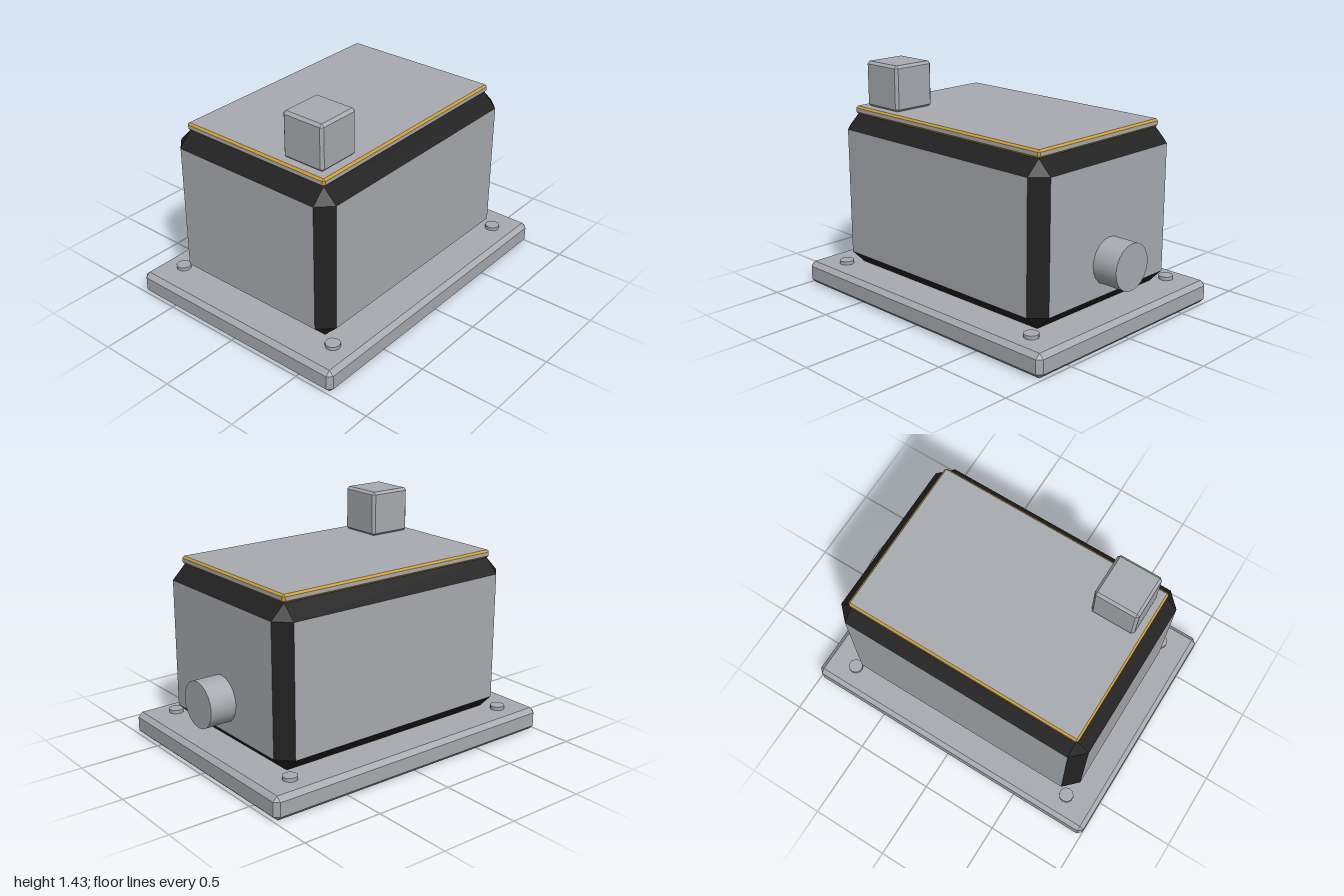
import * as THREE from 'three';

// Box with chamfered edges: group 0 = flat faces, group 1 = chamfers and corners
function chamferBox(w, h, d, c) {
  const half = [w / 2, h / 2, d / 2];
  const pos = [];
  // corner point lying on the face of the given axis
  const point = (signs, axis) =>
    new THREE.Vector3(...signs.map((s, i) => s * (half[i] - (i === axis ? 0 : c))));
  const tri = (a, b, e) => {
    const n = b.clone().sub(a).cross(e.clone().sub(a));
    const mid = a.clone().add(b).add(e);
    const order = n.dot(mid) > 0 ? [a, b, e] : [a, e, b];
    order.forEach((p) => pos.push(p.x, p.y, p.z));
  };
  const quad = (a, b, e, f) => { tri(a, b, e); tri(a, e, f); };
  const signed = (axis, s, u, su, v, sv) => {
    const r = [0, 0, 0];
    r[axis] = s; r[u] = su; r[v] = sv;
    return r;
  };
  // flat faces
  for (let a = 0; a < 3; a++) for (const s of [-1, 1]) {
    const u = (a + 1) % 3, v = (a + 2) % 3;
    const p = (su, sv) => point(signed(a, s, u, su, v, sv), a);
    quad(p(-1, -1), p(1, -1), p(1, 1), p(-1, 1));
  }
  const faceCount = pos.length / 3;
  // edge chamfers running along each axis
  for (let a = 0; a < 3; a++) for (const su of [-1, 1]) for (const sv of [-1, 1]) {
    const u = (a + 1) % 3, v = (a + 2) % 3;
    const p = (s, axis) => point(signed(a, s, u, su, v, sv), axis);
    quad(p(-1, u), p(1, u), p(1, v), p(-1, v));
  }
  // corner triangles
  for (const x of [-1, 1]) for (const y of [-1, 1]) for (const z of [-1, 1]) {
    tri(...[0, 1, 2].map((axis) => point([x, y, z], axis)));
  }
  const g = new THREE.BufferGeometry();
  g.setAttribute('position', new THREE.Float32BufferAttribute(pos, 3));
  g.computeVertexNormals();
  g.addGroup(0, faceCount, 0);
  g.addGroup(faceCount, pos.length / 3 - faceCount, 1);
  return g;
}

export function createModel() {
  const model = new THREE.Group();
  model.name = 'machineBox';
  const metal = new THREE.MeshStandardMaterial({ name: 'grey metal', color: 0xa8abb0 });
  const black = new THREE.MeshStandardMaterial({ name: 'black trim', color: 0x222222 });
  const gold = new THREE.MeshStandardMaterial({ name: 'gold trim', color: 0xd4a02c });

  const add = (name, geometry, material, x, y, z) => {
    const mesh = new THREE.Mesh(geometry, material);
    mesh.name = name;
    mesh.position.set(x, y, z);
    model.add(mesh);
    return mesh;
  };

  // Base plate, housing, lid and the small block on top
  add('basePlate', chamferBox(2, 0.143, 1.5, 0.028), [metal, metal], 0, 0.0715, 0);
  add('housing', chamferBox(1.674, 0.962, 1.174, 0.086), [metal, black], 0, 0.624, 0);
  add('lid', chamferBox(1.53, 0.048, 1.03, 0.012), [metal, gold], 0, 1.129, 0);
  add('topBlock', chamferBox(0.28, 0.28, 0.28, 0.016), [metal, metal], -0.573, 1.29, 0.32);

  // Output stub on the left side
  const stub = add('sideStub', new THREE.CylinderGeometry(0.141, 0.141, 0.2, 20), metal, 0.9, 0.43, 0);
  stub.rotation.z = -Math.PI / 2;

  // Corner bolts
  const boltGeometry = new THREE.CylinderGeometry(0.045, 0.045, 0.04, 10);
  for (const x of [-0.8, 0.8]) for (const z of [-0.6, 0.6]) {
    add('bolt', boltGeometry, metal, x, 0.145, z);
  }
  return model;
}
